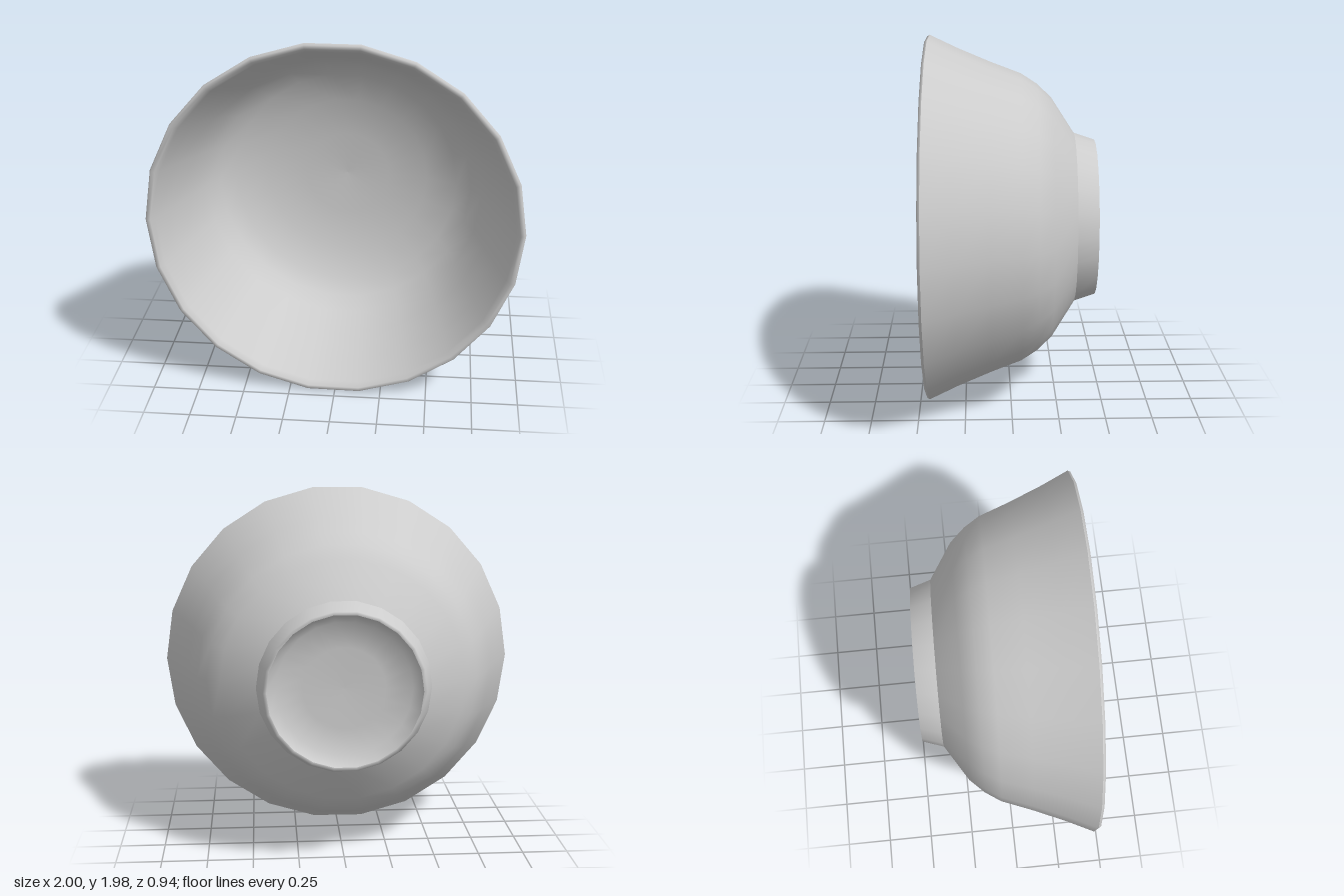
import * as THREE from 'three';

const SIDES = 22;

// Revolves [radius, z] pairs around the z axis; the opening faces +z.
function turned(name, profile, material) {
  const points = profile.map(([r, z]) => new THREE.Vector2(r, z));
  const geometry = new THREE.LatheGeometry(points, SIDES, Math.PI / 2);
  geometry.rotateX(Math.PI / 2);
  const mesh = new THREE.Mesh(geometry, material);
  mesh.name = name;
  return mesh;
}

export function createModel() {
  const material = new THREE.MeshStandardMaterial({ color: 0xcccccc, side: THREE.DoubleSide });
  const bowl = new THREE.Group();
  bowl.name = 'bowl';

  // Shallow dish inside the foot, then the foot ring itself
  bowl.add(turned('footRecess', [[0, -0.37], [0.22, -0.375], [0.36, -0.39], [0.41, -0.46]], material));
  bowl.add(turned('footRing', [[0.41, -0.46], [0.428, -0.463], [0.465, -0.35]], material));

  // Rounded shoulder and flared outer side
  bowl.add(turned('outerWall', [
    [0.465, -0.35], [0.66, -0.225], [0.735, -0.145], [0.79, -0.06],
    [0.85, 0.1], [0.925, 0.28], [0.998, 0.435],
  ], material));

  // Thin rim, inner side and floor
  bowl.add(turned('rimAndInterior', [
    [0.998, 0.435], [0.99, 0.449], [0.97, 0.449], [0.95, 0.42],
    [0.895, 0.27], [0.825, 0.09], [0.768, -0.06], [0.71, -0.145],
    [0.63, -0.215], [0.46, -0.29], [0.24, -0.325], [0, -0.335],
  ], material));

  // The opening leans very slightly to one side
  bowl.rotation.y = -0.017;
  bowl.position.y = 1;

  const model = new THREE.Group();
  model.name = 'bowlOnItsSide';
  model.add(bowl);
  return model;
}
